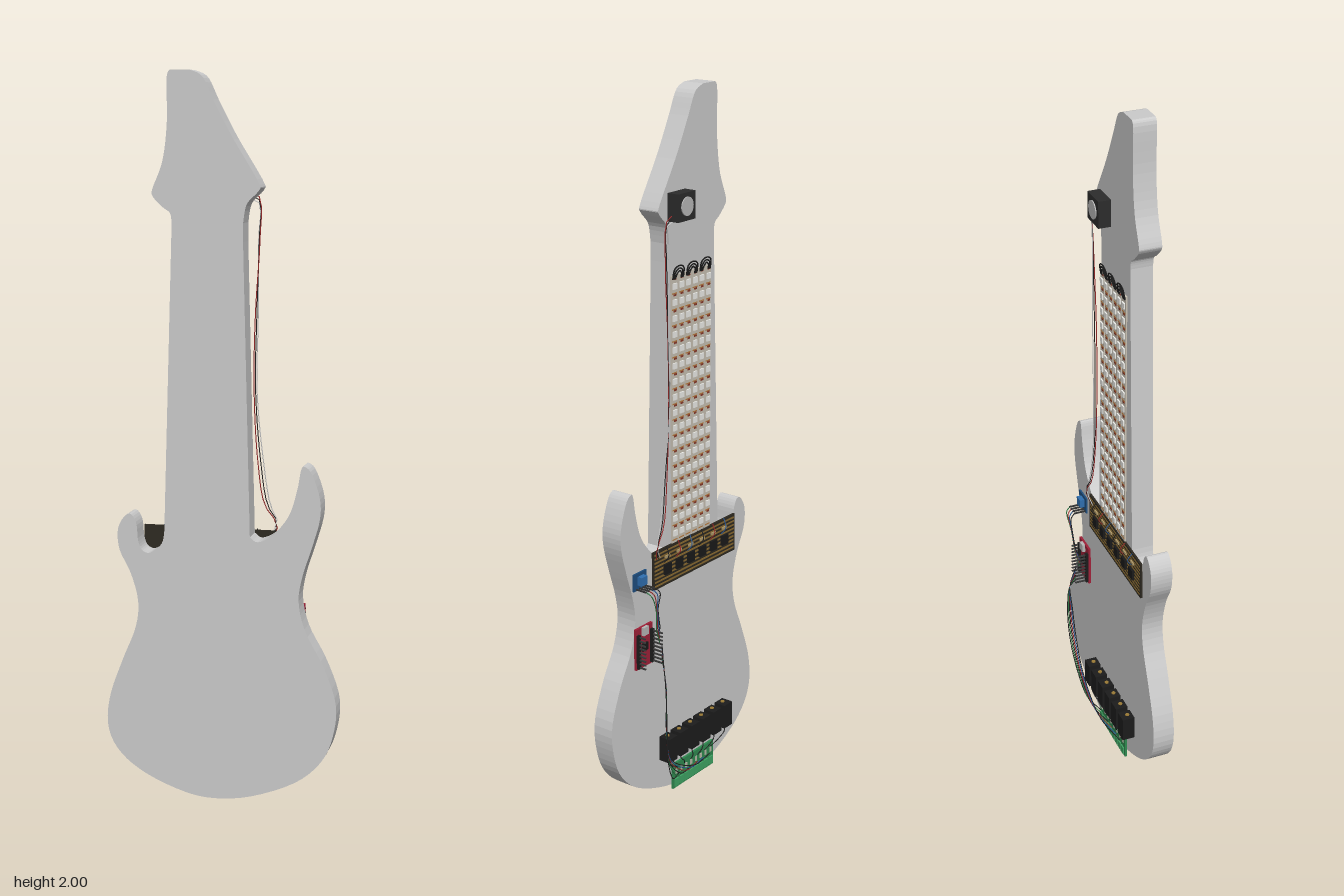
import * as THREE from 'three';

const BACK = 0.005; // z of the body's rear face, which carries the electronics
const mats = {};
const mat = (color) => (mats[color] ??= new THREE.MeshStandardMaterial({ color }));

function add(parent, name, geometry, color, x = 0, y = 0, z = 0) {
  const m = new THREE.Mesh(geometry, mat(color));
  m.name = name;
  m.position.set(x, y, z);
  parent.add(m);
  return m;
}

// Box given by its x, y and z ranges
function box(parent, name, color, [x0, x1], [y0, y1], [z0, z1]) {
  const g = new THREE.BoxGeometry(x1 - x0, y1 - y0, z1 - z0);
  return add(parent, name, g, color, (x0 + x1) / 2, (y0 + y1) / 2, (z0 + z1) / 2);
}

function wire(parent, color, pts, radius = 0.0014) {
  const curve = new THREE.CatmullRomCurve3(pts.map((p) => new THREE.Vector3(...p)));
  return add(parent, 'wire', new THREE.TubeGeometry(curve, 32, radius, 6), color);
}

function group(parent, name) {
  const g = new THREE.Group();
  g.name = name;
  parent.add(g);
  return g;
}

// Flat guitar silhouette: straight neck edges joined by smooth curves
function bodyGeometry() {
  const v = (pts) => pts.map((p) => new THREE.Vector2(...p));
  const s = new THREE.Shape();
  s.moveTo(-0.135, 1.6);
  s.splineThru(v([[-0.14, 1.625], [-0.16, 1.64], [-0.187, 1.668], [-0.187, 1.69], [-0.16, 1.76],
    [-0.147, 1.86], [-0.147, 1.975], [-0.138, 1.998]]));
  s.lineTo(-0.085, 1.998);
  s.splineThru(v([[-0.05, 1.98], [-0.02, 1.92], [0.03, 1.825], [0.1, 1.71], [0.102, 1.685], [0.07, 1.65], [0.06, 1.6]]));
  s.lineTo(0.06, 1.55);
  s.lineTo(0.08, 0.755);
  s.splineThru(v([[0.103, 0.742], [0.145, 0.765], [0.188, 0.82], [0.21, 0.89], [0.22, 0.945], [0.23, 0.955],
    [0.25, 0.935], [0.272, 0.87], [0.272, 0.81], [0.25, 0.73], [0.225, 0.65], [0.216, 0.58], [0.235, 0.5],
    [0.283, 0.41], [0.32, 0.306], [0.315, 0.217], [0.283, 0.137], [0.21, 0.07], [0.087, 0.02], [-0.02, 0.005],
    [-0.11, 0.018], [-0.22, 0.063], [-0.293, 0.12], [-0.326, 0.19], [-0.32, 0.28], [-0.283, 0.386],
    [-0.245, 0.48], [-0.236, 0.555], [-0.256, 0.634], [-0.288, 0.7], [-0.293, 0.755], [-0.278, 0.79],
    [-0.257, 0.803], [-0.24, 0.777], [-0.235, 0.73], [-0.224, 0.703], [-0.2, 0.697], [-0.168, 0.724], [-0.16, 0.76]]));
  s.closePath();
  return new THREE.ExtrudeGeometry(s, { depth: 0.062, bevelEnabled: false, curveSegments: 4 });
}

export function createModel() {
  const model = new THREE.Group();
  model.name = 'guitarController';
  add(model, 'body', bodyGeometry(), 0xcccccc, 0, 0, BACK);

  // Headstock module: black box with a round grey knob
  const head = group(model, 'headstockModule');
  box(head, 'moduleCase', 0x2c2c2c, [-0.007, 0.067], [1.662, 1.736], [-0.03, BACK]);
  const knob = add(head, 'moduleKnob', new THREE.CylinderGeometry(0.025, 0.025, 0.004, 24), 0xb8b8b8, 0.03, 1.7, -0.031);
  knob.rotation.x = Math.PI / 2;

  // Six light strips along the neck, joined in pairs by black loops
  const strips = group(model, 'neckLightStrips');
  const rows = 17;
  for (let i = 0; i < 6; i++) {
    const x = 0.044 - i * 0.0297;
    box(strips, 'lightStrip', 0xc9c2b4, [x - 0.0125, x + 0.0125], [0.75, 1.515], [0.001, BACK]);
    for (let r = 0; r < rows; r++) {
      const y = 0.79 + r * 0.0435;
      box(strips, 'lightChip', 0xeeeeea, [x - 0.008, x + 0.008], [y - 0.008, y + 0.008], [-0.003, 0.001]);
      box(strips, 'stripResistor', 0x8a3a2a, [x - 0.008, x + 0.003], [y + 0.017, y + 0.022], [-0.0005, 0.001]);
      box(strips, 'stripPad', 0xb5793f, [x - 0.01, x + 0.01], [y - 0.021, y - 0.018], [0, 0.001]);
    }
    if (i % 2 === 0) {
      for (let k = 0; k < 3; k++) {
        const a = x + 0.008 - k * 0.005, b = x - 0.0377 + k * 0.005, top = 1.54 - k * 0.007;
        wire(strips, 0x1c1c1c, [[a, 1.505, 0], [a - 0.003, top - 0.008, -0.004], [(a + b) / 2, top, -0.005],
          [b + 0.003, top - 0.008, -0.004], [b, 1.505, 0]], 0.002);
      }
    }
  }

  // Perforated circuit board where neck meets body
  const board = group(model, 'mainBoard');
  box(board, 'boardPlate', 0x2e2a22, [-0.235, 0.142], [0.65, 0.762], [-0.001, BACK]);
  for (let i = 0; i < 9; i++) {
    const y = 0.66 + i * 0.0115;
    box(board, 'copperTrack', 0x8a6a30, [-0.23, 0.137], [y - 0.0025, y + 0.0025], [-0.002, -0.001]);
  }
  for (let i = 0; i < 6; i++) {
    const x = 0.085 - i * 0.053;
    box(board, 'boardChip', 0x1a1a1a, [x - 0.014, x + 0.014], [0.685, 0.715], [-0.009, -0.001]);
    box(board, 'boardResistor', 0xb09a6a, [x - 0.012, x + 0.008], [0.732, 0.739], [-0.006, -0.001]);
    wire(board, [0x222222, 0x9a2a2a, 0x2a5a9a][i % 3],
      [[x + 0.01, 0.72, -0.002], [x + 0.006, 0.74, -0.014], [x, 0.765, -0.002]]);
  }

  // Small blue module beside the board
  const blue = group(model, 'blueModule');
  box(blue, 'modulePlate', 0x1f4f80, [0.172, 0.226], [0.675, 0.725], [0, BACK]);
  box(blue, 'trimmer', 0x2f6fb0, [0.185, 0.21], [0.69, 0.715], [-0.014, 0]);
  for (let i = 0; i < 4; i++) {
    const x = 0.178 + i * 0.0125;
    box(blue, 'modulePin', 0x333333, [x - 0.002, x + 0.002], [0.678, 0.682], [-0.035, 0]);
    wire(blue, [0x222222, 0x2a5a9a, 0x9a2a2a, 0x2f7a45][i], [[x, 0.68, -0.034], [x - 0.006, 0.67, -0.046],
      [0.175 + i * 0.003, 0.62, -0.042], [0.16 + i * 0.005, 0.56, -0.036], [0.154, 0.545 - i * 0.012, -0.03]]);
  }

  // Red microcontroller with two pin headers
  const ctrl = group(model, 'controllerBoard');
  box(ctrl, 'controllerPlate', 0xa02038, [0.15, 0.222], [0.44, 0.562], [-0.002, BACK]);
  box(ctrl, 'controllerChip', 0x1a1a1a, [0.175, 0.198], [0.49, 0.513], [-0.007, -0.002]);
  box(ctrl, 'controllerSocket', 0xb8b8b8, [0.176, 0.198], [0.538, 0.562], [-0.011, -0.002]);
  for (const x of [0.156, 0.215]) {
    box(ctrl, 'pinHeader', 0x1c1c1c, [x - 0.005, x + 0.005], [0.445, 0.545], [-0.01, -0.002]);
    for (let i = 0; i < 9; i++) {
      const y = 0.45 + i * 0.0113;
      const tip = x < 0.2 ? -0.042 : -0.03;
      box(ctrl, 'headerPin', 0x3a3a3a, [x - 0.002, x + 0.002], [y - 0.002, y + 0.002], [tip, -0.01]);
    }
  }

  // Row of six black jacks with brass screws, each wired to the controller
  const jacks = group(model, 'jackRow');
  const wireColors = [0x222222, 0x2f7a45, 0x222222, 0x9a2a2a, 0x2a5a9a, 0x222222];
  for (let i = 0; i < 6; i++) {
    const x = 0.094 - i * 0.0528;
    box(jacks, 'jack', 0x1c1c1c, [x - 0.0188, x + 0.0188], [0.116, 0.19], [-0.031, BACK]);
    add(jacks, 'jackScrew', new THREE.CylinderGeometry(0.006, 0.006, 0.003, 16), 0x9a7a35, x, 0.191, -0.01);
    wire(jacks, 0x222222, [[x, 0.12, -0.012], [x, 0.1, -0.018], [x * 0.8 - 0.006, 0.085, -0.018], [x * 0.6 - 0.015, 0.065, -0.006]]);
    const y = 0.46 + i * 0.009;
    wire(jacks, wireColors[i], [[0.156, y, -0.04], [0.166, 0.435, -0.055], [0.168 - i * 0.003, 0.36, -0.063 + i * 0.002],
      [0.16 - i * 0.003, 0.25, -0.06 + i * 0.003], [0.135 - i * 0.005, 0.13, -0.045 + i * 0.002],
      [0.095 - i * 0.02, 0.06, -0.03], [0.04 - i * 0.03, 0.045, -0.008]]);
  }

  // Green terminal board at the bottom edge
  const term = group(model, 'terminalBoard');
  box(term, 'terminalPlate', 0x2f8a50, [-0.135, 0.058], [0, 0.078], [-0.002, BACK]);
  for (let i = 0; i < 8; i++) {
    const x = 0.044 - i * 0.0235;
    box(term, 'terminalBlock', 0x3fa564, [x - 0.009, x + 0.009], [0.006, 0.03], [-0.006, -0.002]);
    box(term, 'terminalPad', 0xb9b9a8, [x - 0.004, x + 0.004], [0.045, 0.06], [-0.004, -0.002]);
  }

  // Long wires hanging beside the neck, from headstock to board
  const neckWires = group(model, 'neckWires');
  [0x9a2a2a, 0x222222, 0xd8d8d8].forEach((color, i) => {
    const d = i * 0.008;
    wire(neckWires, color, [[0.06, 1.68 - d, -0.008], [0.088, 1.665 - d, -0.008], [0.09 - d * 0.3, 1.56, -0.005 - d * 0.3],
      [0.078 + d * 0.4, 1.35, -0.003 - d * 0.5], [0.075 + d * 0.4, 1.15, -0.003 - d * 0.5], [0.086 + d, 0.95, -0.004],
      [0.105 + d, 0.83, -0.008], [0.14, 0.775 + d * 0.4, -0.012], [0.13 - d, 0.74, -0.002]]);
  });

  return model;
}
